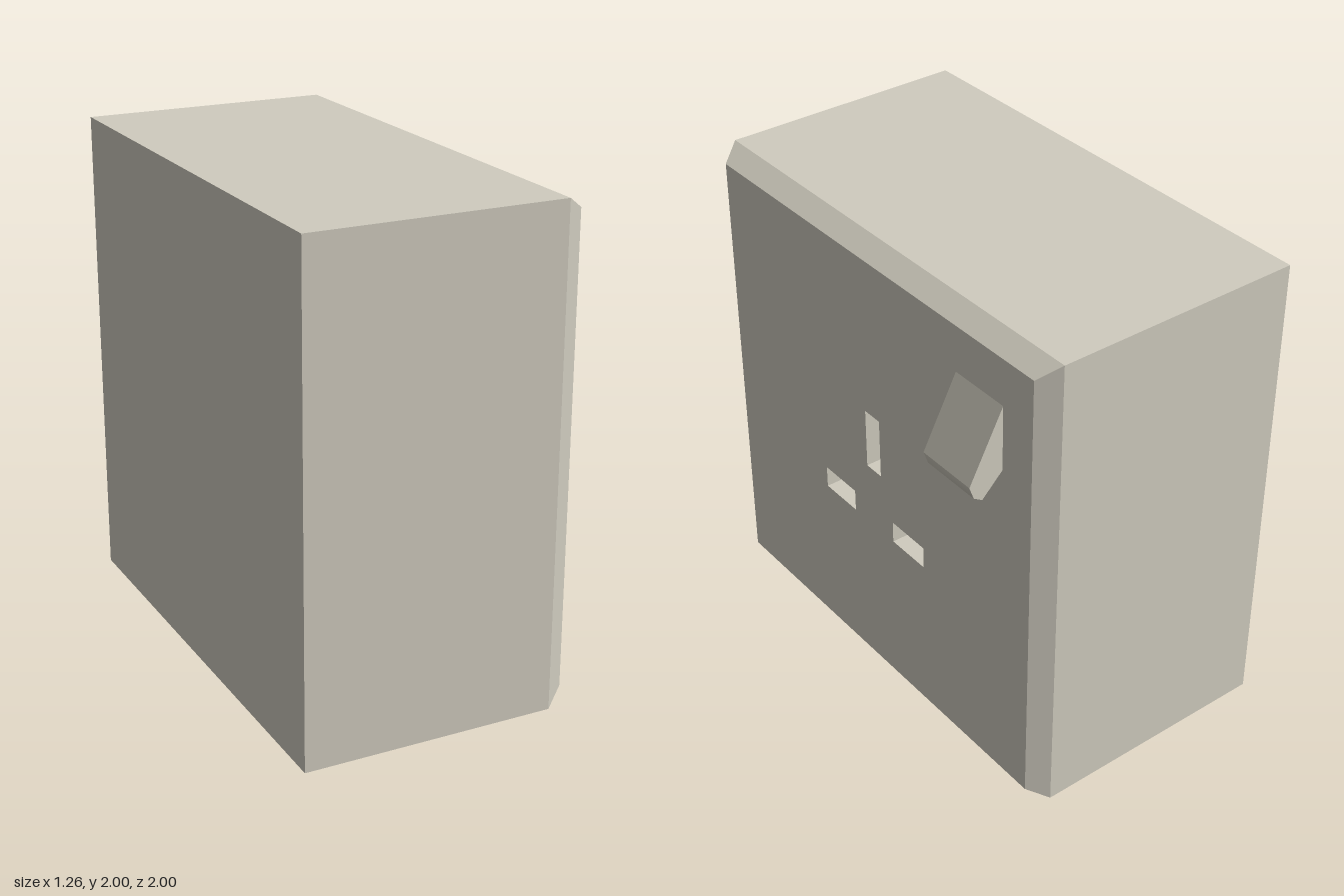
import * as THREE from 'three';
import { toCreasedNormals } from 'three/addons/utils/BufferGeometryUtils.js';

const FRONT = 0.482; // x of the socket face
const DEPTH = 0.25; // depth of the pin slots
const INNER = 0.945; // half size of the face inside the chamfer

// Extrudes a shape drawn in (-z, y) along +x, starting at x
function extrudeX(shape, depth, x) {
  const g = new THREE.ExtrudeGeometry(shape, { depth, bevelEnabled: false });
  return g.rotateY(Math.PI / 2).translate(x, 0, 0);
}

function rect(PathType, cx, cy, w, h) {
  const p = new PathType();
  p.moveTo(cx - w / 2, cy - h / 2);
  p.lineTo(cx + w / 2, cy - h / 2);
  p.lineTo(cx + w / 2, cy + h / 2);
  p.lineTo(cx - w / 2, cy + h / 2);
  p.closePath();
  return p;
}

export function createModel() {
  const model = new THREE.Group();
  const plastic = new THREE.MeshStandardMaterial({ color: 0xd0ccbf });
  plastic.name = 'warm grey plastic';

  const add = (name, geometry) => {
    const mesh = new THREE.Mesh(geometry, plastic);
    mesh.name = name;
    model.add(mesh);
    return mesh;
  };

  // Square housing with chamfered front rim: a four-sided lathe, open at the front
  const profile = [[0, -0.63], [1, -0.63], [1, 0.4], [INNER, FRONT]]
    .map(([r, x]) => new THREE.Vector2(r * Math.SQRT2, x));
  const housing = new THREE.LatheGeometry(profile, 4, Math.PI / 4).toNonIndexed();
  housing.computeVertexNormals();
  housing.rotateZ(-Math.PI / 2).translate(0, 1, 0);
  add('housing', housing);

  // Socket face with three pin slots
  const face = rect(THREE.Shape, 0, 1, INNER * 2, INNER * 2);
  const slots = [
    [0, 1.145, 0.09, 0.257],
    [-0.238, 0.787, 0.198, 0.094],
    [0.214, 0.787, 0.198, 0.094],
  ];
  for (const s of slots) face.holes.push(rect(THREE.Path, ...s));
  add('socketFace', extrudeX(face, DEPTH, FRONT - DEPTH));

  // Floors of the slots
  for (const [u, y, w, h] of slots) {
    const floor = new THREE.PlaneGeometry(w, h).rotateY(Math.PI / 2);
    add('slotFloor', floor).position.set(FRONT - DEPTH, y, -u);
  }

  // Rocker switch: wedge profile in (x, y) with a softened lower tip
  const wedge = new THREE.Shape([
    [0.47, 1.5], [0.57, 1.4], [0.607, 1.423], [0.626, 1.477], [0.482, 1.757], [0.47, 1.757],
  ].map(([x, y]) => new THREE.Vector2(x, y)));
  const rocker = new THREE.ExtrudeGeometry(wedge, { depth: 0.262, bevelEnabled: false });
  add('rockerSwitch', toCreasedNormals(rocker, 0.75)).position.z = -0.787;

  return model;
}
